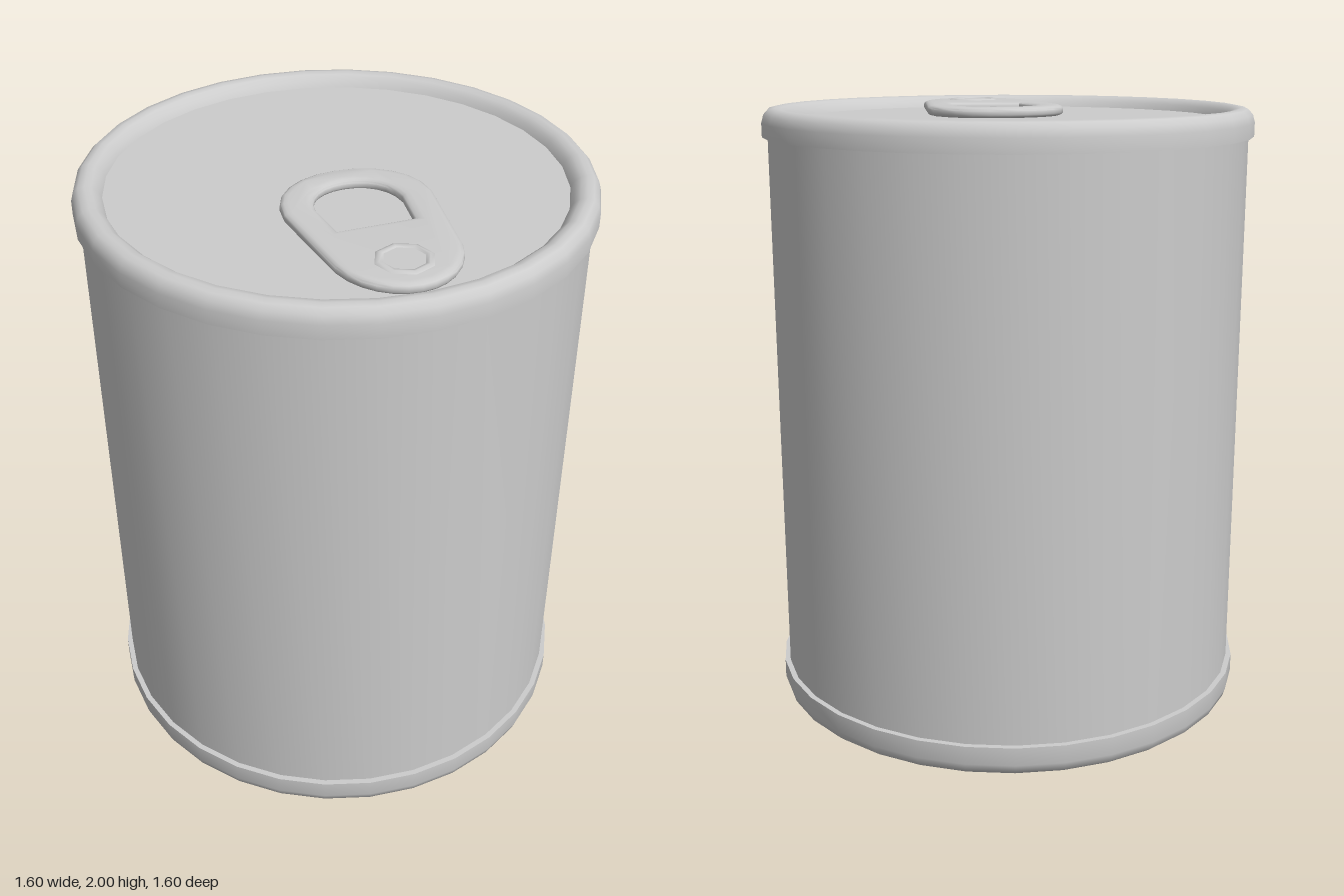
import * as THREE from 'three';
import { toCreasedNormals } from 'three/addons/utils/BufferGeometryUtils.js';

const SIDES = 32;
const LID_Y = 1.96;

export function createModel() {
  const can = new THREE.Group();
  can.name = 'can';
  const metal = new THREE.MeshStandardMaterial({ color: 0xcccccc });
  metal.name = 'tin grey';

  const add = (name, geometry, parent = can) => {
    const mesh = new THREE.Mesh(geometry, metal);
    mesh.name = name;
    parent.add(mesh);
    return mesh;
  };
  const lathe = (points, sides, crease = 0.9) => toCreasedNormals(
    new THREE.LatheGeometry(points.map(([r, y]) => new THREE.Vector2(r, y)), sides), crease);

  // Straight wall
  add('wall', lathe([[0.782, 0.05], [0.782, 1.95]], SIDES));

  // Rolled rims, each with a step onto the wall and a lip around its end panel
  add('topRim', lathe([
    [0.78, 1.91], [0.8, 1.91], [0.8, 1.955], [0.793, 1.98], [0.777, 1.996],
    [0.757, 2], [0.737, 1.996], [0.718, 1.98], [0.708, LID_Y],
  ], SIDES));
  add('bottomRim', lathe([
    [0.695, 0.025], [0.706, 0.012], [0.725, 0.002], [0.75, 0], [0.775, 0.006],
    [0.792, 0.02], [0.8, 0.045], [0.8, 0.105], [0.78, 0.105],
  ], SIDES));

  // End panels
  const lid = add('lid', new THREE.CircleGeometry(0.712, SIDES));
  lid.rotation.x = -Math.PI / 2;
  lid.position.y = LID_Y;
  const base = add('base', new THREE.CircleGeometry(0.7, SIDES));
  base.rotation.x = Math.PI / 2;
  base.position.y = 0.025;

  // Pull tab: tapered plate with a thumb hole and rounded edges
  const pullTab = new THREE.Group();
  pullTab.name = 'pullTab';
  can.add(pullTab);

  const outline = new THREE.Shape();
  outline.moveTo(0, -0.022);
  outline.bezierCurveTo(0.13, -0.022, 0.235, 0.06, 0.232, 0.2);
  outline.lineTo(0.19, 0.52);
  outline.bezierCurveTo(0.165, 0.63, 0.08, 0.692, 0, 0.692);
  outline.bezierCurveTo(-0.08, 0.692, -0.165, 0.63, -0.19, 0.52);
  outline.lineTo(-0.232, 0.2);
  outline.bezierCurveTo(-0.235, 0.06, -0.13, -0.022, 0, -0.022);

  const hole = new THREE.Path();
  hole.moveTo(0.118, 0.34);
  hole.lineTo(0.135, 0.2);
  hole.bezierCurveTo(0.13, 0.11, 0.07, 0.065, 0, 0.065);
  hole.bezierCurveTo(-0.07, 0.065, -0.13, 0.11, -0.135, 0.2);
  hole.lineTo(-0.118, 0.34);
  hole.closePath();
  outline.holes.push(hole);

  const plate = new THREE.ExtrudeGeometry(outline, {
    depth: 0.012, curveSegments: 6, bevelEnabled: true,
    bevelThickness: 0.012, bevelSize: 0.025, bevelOffset: -0.025, bevelSegments: 3,
  });
  plate.rotateX(Math.PI / 2);
  plate.translate(0, LID_Y + 0.022, 0);
  add('tabPlate', toCreasedNormals(plate, 0.9), pullTab);

  // Rivet: raised collar with a sunken octagonal head
  const rivet = new THREE.Group();
  rivet.name = 'rivet';
  rivet.position.z = 0.555;
  pullTab.add(rivet);
  add('rivetCollar', lathe([
    [0.095, 1.985], [0.088, 1.995], [0.076, 1.999], [0.066, 1.998], [0.062, 1.994],
  ], 8), rivet);
  const head = add('rivetHead', new THREE.CircleGeometry(0.064, 8), rivet);
  head.rotation.x = -Math.PI / 2;
  head.position.y = 1.995;

  return can;
}
